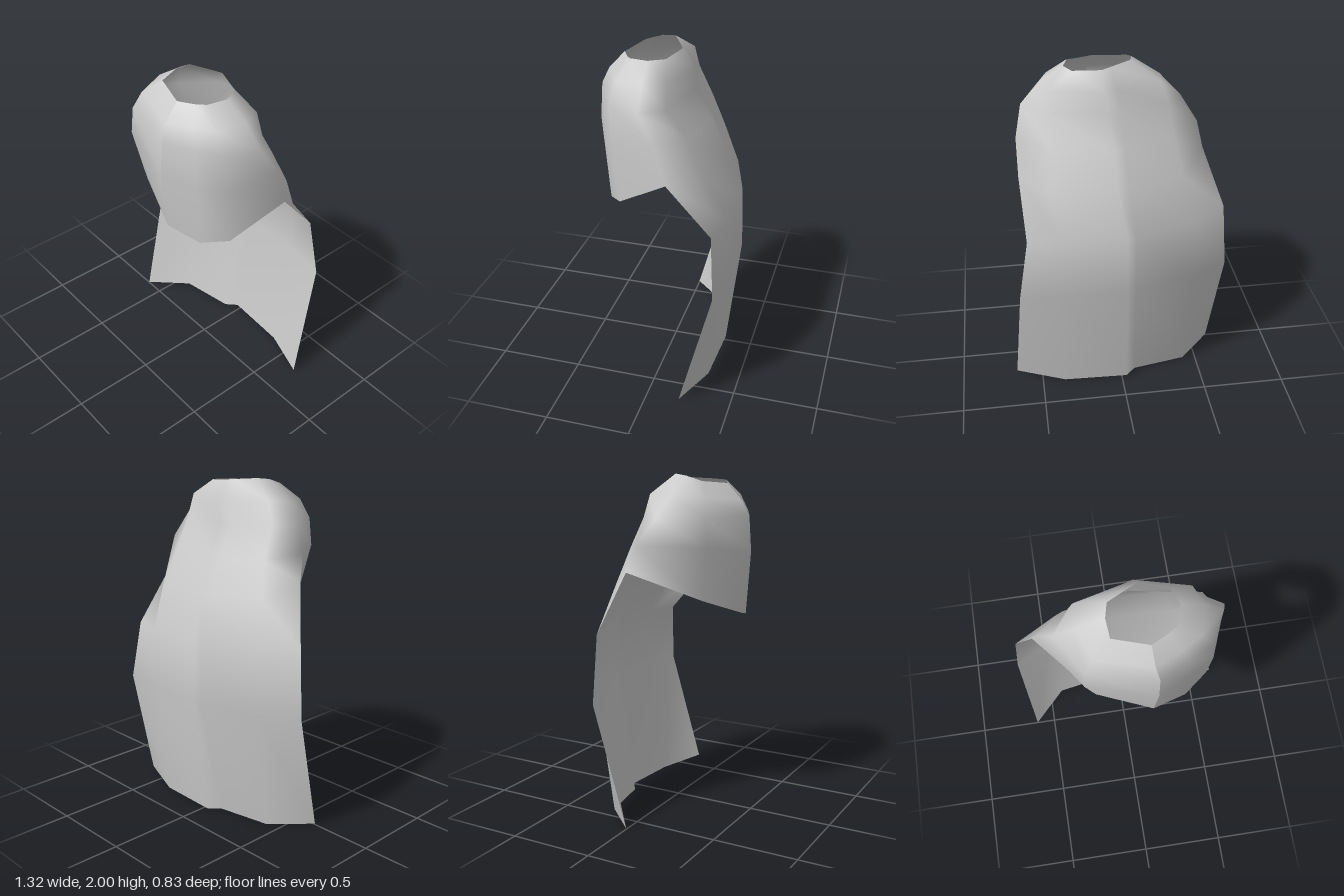
import * as THREE from 'three';

// Cross-section loops, top to bottom. Columns run from the front seam round by
// the right side (-x), across the back, to the left side and back to the seam.
const mantleRings = [
  // neck opening
  [[.10, 1.945, .27], [-.10, 1.96, .21], [-.11, 1.99, .11], [-.09, 2, .03], [.03, 1.99, -.035],
    [.08, 1.985, -.06], [.24, 1.97, -.01], [.28, 1.965, .08], [.25, 1.96, .19], [.19, 1.95, .225]],
  // collar slope
  [[.11, 1.85, .36], [-.20, 1.87, .28], [-.27, 1.885, .10], [-.26, 1.89, -.04], [0, 1.88, -.11],
    [.07, 1.88, -.13], [.37, 1.88, -.05], [.42, 1.88, .07], [.37, 1.87, .23], [.26, 1.86, .29]],
  // shoulder top
  [[.13, 1.76, .40], [-.25, 1.76, .31], [-.39, 1.76, .07], [-.30, 1.76, -.06], [-.02, 1.75, -.115],
    [.05, 1.75, -.13], [.41, 1.75, -.06], [.53, 1.76, .06], [.44, 1.77, .25], [.30, 1.76, .32]],
  // chest
  [[.13, 1.55, .415], [-.26, 1.60, .32], [-.48, 1.62, 0], [-.32, 1.58, -.14], [-.03, 1.57, -.21],
    [.03, 1.57, -.22], [.38, 1.58, -.17], [.57, 1.60, -.04], [.46, 1.54, .24], [.32, 1.54, .325]],
  // front hem and upper back
  [[.12, 1.18, .37], [-.20, 1.29, .27], [-.51, 1.47, -.05], [-.37, 1.37, -.21], [-.04, 1.35, -.30],
    [.02, 1.35, -.31], [.40, 1.35, -.28], [.57, 1.38, -.10], [.46, 1.19, .20], [.32, 1.14, .30]],
];
// Open rows of the back cape, from its right edge to its left edge
const capeRows = [
  [[-.63, 1.13, -.17], [-.43, 1.10, -.29], [-.07, 1.09, -.395], [-.02, 1.09, -.405], [.35, 1.09, -.405], [.55, 1.09, -.35]],
  [[-.66, .73, -.185], [-.44, .74, -.31], [-.07, .74, -.405], [-.02, .74, -.415], [.35, .74, -.41], [.61, .73, -.38]],
  [[-.62, .01, 0], [-.42, .01, -.21], [-.09, .01, -.27], [-.03, .01, -.33], [.36, .005, -.31], [.66, .02, -.20]],
];
const FIRST = 2; // mantle column where the cape begins

export function createModel() {
  const position = [];
  const addRow = (row) => row.map((p) => position.push(...p) / 3 - 1);
  // Join two rows of vertex numbers with outward facing triangles
  const join = (out, upper, lower) => {
    for (let i = 0; i < upper.length - 1; i++) {
      const [a, c, b, d] = [upper[i], upper[i + 1], lower[i], lower[i + 1]];
      out.push(a, c, b, c, d, b);
    }
  };

  // The seam column is doubled, so the front seam stays sharp
  const rings = mantleRings.map((ring) => addRow([...ring, ring[0]]));
  const rows = [rings.at(-1).slice(FIRST, FIRST + 6), ...capeRows.map(addRow)];
  const mantle = [], cape = [];
  for (let r = 1; r < rings.length; r++) join(mantle, rings[r - 1], rings[r]);
  for (let r = 1; r < rows.length; r++) join(cape, rows[r - 1], rows[r]);

  // Normals are found over the whole cloth so the parts meet smoothly
  const cloth = new THREE.BufferGeometry();
  cloth.setAttribute('position', new THREE.Float32BufferAttribute(position, 3));
  cloth.setIndex([...mantle, ...cape]);
  cloth.computeVertexNormals();

  const material = new THREE.MeshStandardMaterial({ color: 0xcccccc, side: THREE.DoubleSide });
  const group = new THREE.Group();
  group.name = 'hoodlessCloak';
  for (const [name, index] of [['shoulderMantle', mantle], ['backCape', cape]]) {
    const mesh = new THREE.Mesh(cloth.clone().setIndex(index), material);
    mesh.name = name;
    group.add(mesh);
  }
  return group;
}
